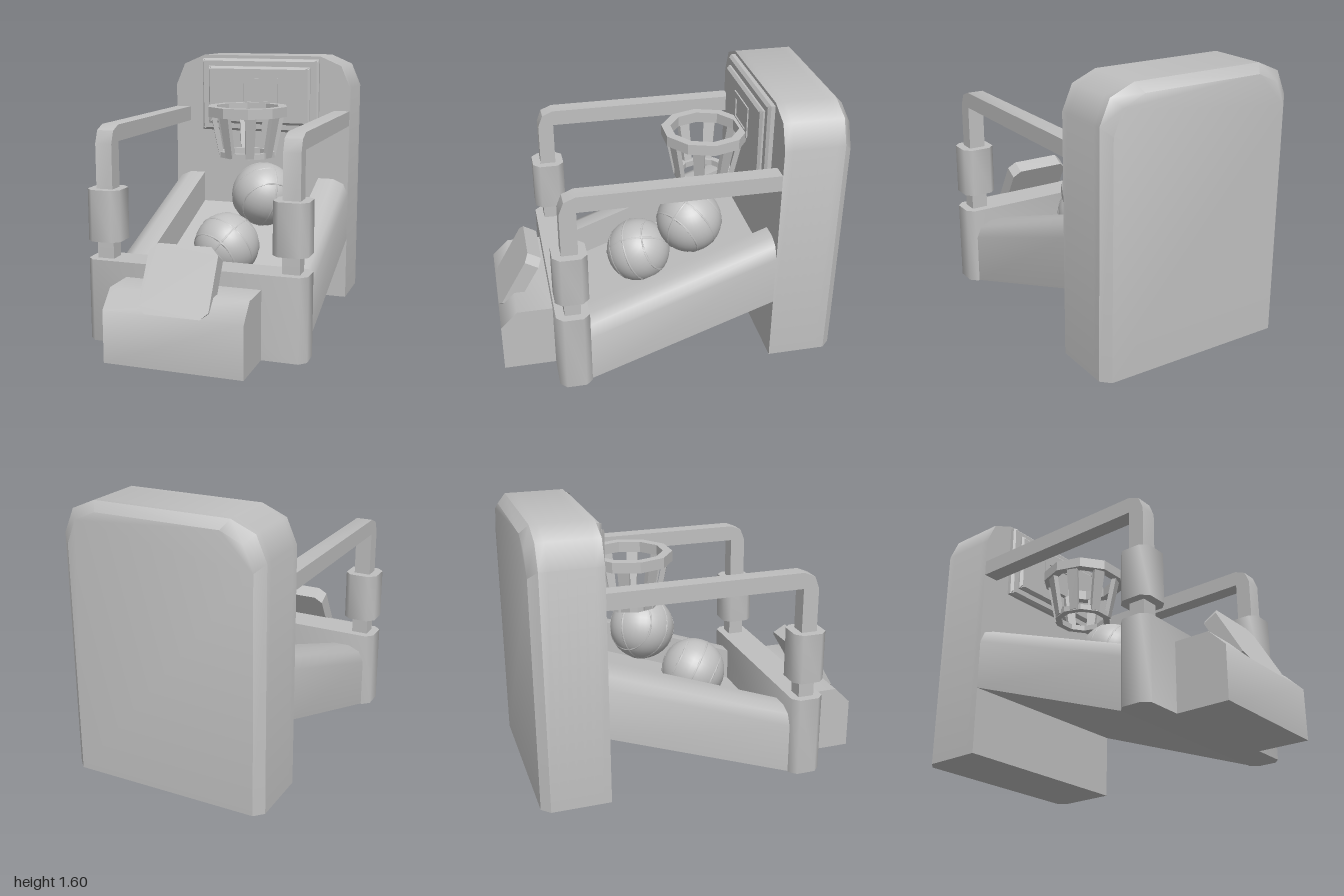
import * as THREE from 'three';
import { toCreasedNormals } from 'three/addons/utils/BufferGeometryUtils.js';

const plastic = new THREE.MeshStandardMaterial({ color: 0xbfbfbf });
plastic.name = 'grey plastic';

const shapeOf = (pts) => new THREE.Shape(pts.map(([x, y]) => new THREE.Vector2(x, y)));
const mirrored = (pts) => [...pts, ...pts.map(([x, y]) => [-x, y]).reverse()];
const extrude = (pts, depth, steps = 1) =>
  new THREE.ExtrudeGeometry(shapeOf(pts), { depth, steps, bevelEnabled: false });

// Side profile of [z, y] points, extruded across x and centred on x = 0
const sideProfile = (pts, width) => extrude(pts, width).rotateY(-Math.PI / 2).translate(width / 2, 0, 0);

// Rectangle with four cut corners
function cutRect(w, h, c) {
  const a = w / 2, b = h / 2;
  return mirrored([[a - c, -b], [a, -b + c], [a, b - c], [a - c, b]]);
}
// Upright block with cut vertical corners
const block = (w, d, h, c = 0.04) => extrude(cutRect(w, d, c), h).rotateX(-Math.PI / 2);

// Rectangle of wall panel with a bevelled front edge
function panel(w, h, z0, z1, hole) {
  const b = 0.016, s = shapeOf(cutRect(w, h, 0.0001));
  if (hole) s.holes.push(new THREE.Path(cutRect(hole[0], hole[1], 0.0001).map(([x, y]) => new THREE.Vector2(x, y))));
  if (hole) return new THREE.ExtrudeGeometry(s, { depth: z1 - z0, bevelEnabled: false }).translate(0, 0, z0);
  return new THREE.ExtrudeGeometry(s, {
    depth: z1 - z0 - b, bevelThickness: b, bevelSize: b, bevelOffset: -b, bevelSegments: 1,
  }).translate(0, 0, z0);
}

// Ring with straight walls and a given number of sides
function ring(outer, inner, y0, y1, sides) {
  const profile = [[inner, y0], [outer, y0], [outer, y1], [inner, y1], [inner, y0]];
  return new THREE.LatheGeometry(profile.map(([x, y]) => new THREE.Vector2(x, y)), sides);
}

export function createModel() {
  const model = new THREE.Group();
  const add = (name, geometry, crease = 0.8, parent = model) => {
    const mesh = new THREE.Mesh(toCreasedNormals(geometry, crease), plastic);
    mesh.name = name;
    parent.add(mesh);
    return mesh;
  };

  // Back cabinet, its rear edge chamfered on the sides and top
  const cabinet = extrude(mirrored([[0.6, 0], [0.6, 1.4], [0.54, 1.54], [0.4, 1.6]]), 0.4, 8).translate(0, 0, -1);
  const cp = cabinet.attributes.position;
  for (let i = 0; i < cp.count; i++) {
    if (cp.getZ(i) < -0.99) cp.setXY(i, cp.getX(i) * 0.55 / 0.6, cp.getY(i) * 1.55 / 1.6);
  }
  add('cabinet', cabinet, 0.77);

  // Sloping ball ramp with raised, rounded side rails
  const ramp = extrude(mirrored([[0.6, 0], [0.6, 0.3], [0.57, 0.37], [0.5, 0.4], [0.4, 0.4], [0.4, 0.2]]), 1.1)
    .translate(0, 0, -0.6);
  const rp = ramp.attributes.position;
  for (let i = 0; i < rp.count; i++) rp.setY(i, rp.getY(i) + (0.5 - rp.getZ(i)) * 0.4 / 1.1);
  add('ramp', ramp);

  // Front crossbar, console and tilted control plate
  add('frontBase', block(1.3, 0.195, 0.485).translate(0, 0, 0.593));
  add('console', sideProfile([[0.65, 0], [1, 0], [1, 0.3], [0.9, 0.4], [0.65, 0.4]], 0.8));
  const plate = add('controlPlate', extrude(cutRect(0.4, 0.4, 0.045), 0.09).translate(0, 0, -0.09), 0.5);
  plate.position.set(0, 0.472, 0.9);
  plate.rotation.x = -Math.PI / 6;

  // Side bars with padded sleeves
  const barProfile = [[0.545, 0.45], [0.64, 0.45], [0.64, 1.15], [0.612, 1.222], [0.545, 1.25],
    [-0.6, 1.25], [-0.6, 1.155], [0.545, 1.155]];
  for (const [side, s] of [['left', 1], ['right', -1]]) {
    add(side + 'Bar', sideProfile(barProfile, 0.1).translate(s * 0.55, 0, 0));
    add(side + 'Sleeve', block(0.2, 0.195, 0.3).translate(s * 0.55, 0.59, 0.593));
  }

  // Backboard with raised inner panel and target frame
  const backboard = new THREE.Group();
  backboard.name = 'backboard';
  backboard.position.y = 1.34;
  model.add(backboard);
  add('outerBoard', panel(0.8, 0.48, -0.6, -0.56), 0.3, backboard);
  add('innerBoard', panel(0.695, 0.38, -0.56, -0.533), 0.3, backboard);
  add('targetFrame', panel(0.275, 0.19, -0.54, -0.525, [0.2, 0.115]).translate(0, 0.02, 0), 0.3, backboard);

  // Hoop: rim, bracket, slatted net and lower ring
  const hoop = new THREE.Group();
  hoop.name = 'hoop';
  hoop.position.z = -0.31;
  model.add(hoop);
  add('rim', ring(0.26, 0.205, 1.232, 1.295, 10).rotateY(Math.PI / 2), 0.3, hoop);
  add('rimBracket', new THREE.BoxGeometry(0.22, 0.063, 0.06).translate(0, 1.2635, -0.245), 0.3, hoop);
  add('netRing', ring(0.18, 0.14, 0.97, 1.005, 10).rotateY(Math.PI / 2), 0.3, hoop);
  const slat = new THREE.BoxGeometry(0.07, 0.27, 0.03);
  const sp = slat.attributes.position;
  for (let i = 0; i < sp.count; i++) {
    if (sp.getY(i) < 0) sp.setX(i, sp.getX(i) * 0.75);
  }
  slat.rotateX(0.2).translate(0, 1.11, 0.192);
  for (let i = 0; i < 8; i++) {
    add('netSlat', slat.clone().rotateY((i + 0.5) * Math.PI / 4), 0.3, hoop);
  }

  // Balls with shallow seams
  const balls = [[0.145, 0.752, -0.19, 0.5], [0, 0.48, 0.1, -0.4]];
  for (const [x, y, z, turn] of balls) {
    const ball = new THREE.Group();
    ball.name = 'ball';
    ball.position.set(x, y, z);
    ball.rotation.set(0.5, turn, -0.5);
    model.add(ball);
    add('ballSkin', new THREE.SphereGeometry(0.198, 32, 20), 1, ball);
    const seam = (r, offset) => new THREE.TorusGeometry(r, 0.007, 6, 40).translate(0, 0, offset);
    add('seam', seam(0.194, 0), 1.2, ball);
    add('seam', seam(0.194, 0).rotateY(Math.PI / 2), 1.2, ball);
    for (const s of [1, -1]) add('seam', seam(0.158, s * 0.113), 1.2, ball);
  }

  return model;
}
